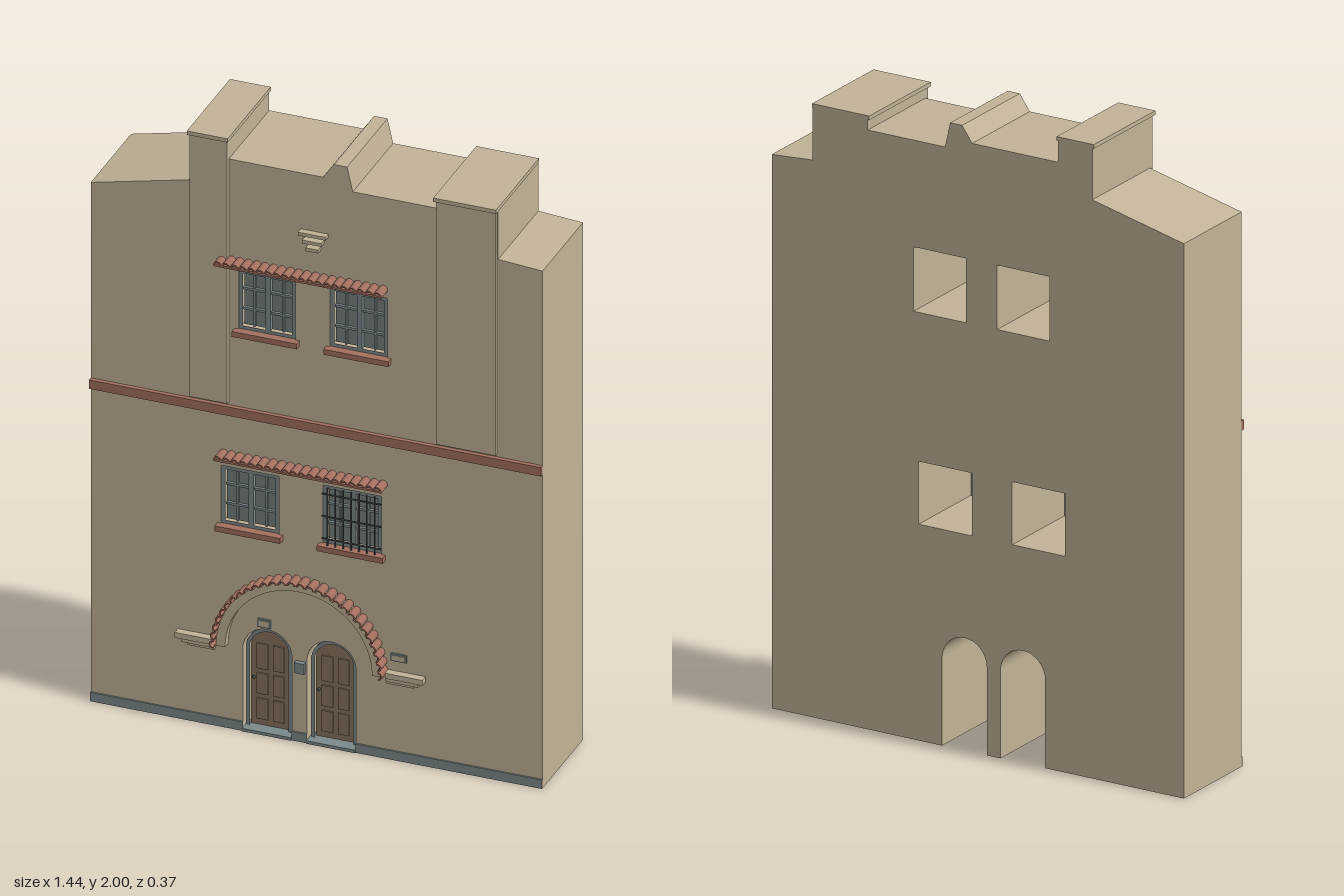
import * as THREE from 'three';

const mat = (name, color, side = THREE.FrontSide) => {
  const m = new THREE.MeshStandardMaterial({ color, side });
  m.name = name;
  return m;
};

const BACK = -0.185, FRONT = 0.135;
const ARCH = { x: -0.048, y: 0.283 };
const doors = [{ x: -0.157, shift: -0.003 }, { x: 0.047, shift: 0 }];
const DOOR_R = 0.078, DOOR_Y = 0.277;
// x0, x1, y0, y1, barred
const windows = [
  [-0.25, -0.067, 1.35, 1.553, false], [0.042, 0.225, 1.35, 1.553, false],
  [-0.305, -0.12, 0.682, 0.88, false], [0.02, 0.207, 0.682, 0.88, true],
];

export function createModel() {
  const wall = mat('stucco', 0xc1b398);
  const brick = mat('terracotta', 0xa36f5f);
  const grey = mat('blueGreyPaint', 0x7c8a8b);
  const glass = mat('windowGlass', 0x75807d);
  const wood = mat('doorWood', 0x87735f);
  const iron = mat('darkIron', 0x4c5152);
  const root = new THREE.Group();
  root.name = 'townhouseFacade';

  const add = (name, geo, material, parent = root) => {
    const m = new THREE.Mesh(geo, material);
    m.name = name;
    parent.add(m);
    return m;
  };
  const box = (name, x0, x1, y0, y1, z0, z1, material, parent) => {
    const g = new THREE.BoxGeometry(x1 - x0, y1 - y0, z1 - z0);
    g.translate((x0 + x1) / 2, (y0 + y1) / 2, (z0 + z1) / 2);
    return add(name, g, material, parent);
  };
  const extrude = (shape, z0, z1, curveSegments = 24) => {
    const g = new THREE.ExtrudeGeometry(shape, { depth: z1 - z0, bevelEnabled: false, curveSegments });
    return g.translate(0, 0, z0);
  };
  const group = (name) => {
    const g = new THREE.Group();
    g.name = name;
    root.add(g);
    return g;
  };
  const rectPath = (x0, x1, y0, y1) => new THREE.Path([
    new THREE.Vector2(x0, y0), new THREE.Vector2(x0, y1),
    new THREE.Vector2(x1, y1), new THREE.Vector2(x1, y0)]);
  // Round-headed outline standing on y = base
  const archTrace = (s, x, y, r, base) => {
    s.lineTo(x - r, base);
    s.lineTo(x - r, y);
    s.absarc(x, y, r, Math.PI, 0, true);
    s.lineTo(x + r, base);
    return s;
  };
  const archShape = (x, y, r, base, Type = THREE.Shape) => {
    const s = new Type();
    s.moveTo(x - r, base);
    return archTrace(s, x, y, r, base);
  };
  const halfRing = (x, y, rOut, rIn) => {
    const s = new THREE.Shape();
    s.moveTo(x + rOut, y);
    s.absarc(x, y, rOut, 0, Math.PI, false);
    s.lineTo(x - rIn, y);
    s.absarc(x, y, rIn, Math.PI, 0, true);
    return s;
  };

  // Main wall block with stepped parapet, doorways and window openings
  const body = new THREE.Shape();
  body.moveTo(-0.72, 0);
  doors.forEach((d) => archTrace(body, d.x, DOOR_Y, DOOR_R, 0));
  [[0.72, 0], [0.72, 1.747], [0.578, 1.757], [0.578, 1.925], [0.385, 1.925], [0.385, 1.89],
    [0.115, 1.89], [0.097, 1.97], [0.055, 1.97], [0.02, 1.92], [-0.28, 1.92], [-0.28, 1.99],
    [-0.4, 1.99], [-0.4, 1.825], [-0.72, 1.75]].forEach(([x, y]) => body.lineTo(x, y));
  windows.forEach(([x0, x1, y0, y1]) => body.holes.push(rectPath(x0, x1, y0, y1)));
  add('wall', extrude(body, BACK, FRONT), wall);

  // Pilasters with thin caps
  [[-0.4, -0.28, 1.99], [0.385, 0.575, 1.925]].forEach(([x0, x1, top]) => {
    box('pilaster', x0, x1, 1.1, top, FRONT, 0.149, wall);
    box('pilasterCap', x0 - 0.005, x1 + 0.005, top - 0.003, top + 0.01, BACK, 0.157, wall);
  });

  // Floor band and plinth, broken at the doors
  box('floorBand', -0.72, 0.72, 1.06, 1.09, FRONT, 0.149, brick);
  [[-0.72, -0.235], [-0.079, -0.031], [0.125, 0.72]].forEach(([x0, x1]) =>
    box('plinth', x0, x1, 0, 0.03, FRONT, 0.14, grey));

  // Small stepped ornament
  [[0.044, 1.72], [0.031, 1.696], [0.02, 1.672]].forEach(([w, y]) =>
    box('ornamentStep', -0.007 - w, -0.007 + w, y, y + 0.011, FRONT, 0.157, wall));

  // Windows: frame, glass, glazing bars and sill
  windows.forEach(([x0, x1, y0, y1, barred]) => {
    const w = group('window');
    const cx = (x0 + x1) / 2, h = y1 - y0;
    const frame = new THREE.Shape(rectPath(x0, x1, y0, y1).getPoints());
    frame.holes.push(rectPath(x0 + 0.013, x1 - 0.013, y0 + 0.013, y1 - 0.013));
    add('windowFrame', extrude(frame, 0.105, 0.13), grey, w);
    box('windowGlass', x0 + 0.01, x1 - 0.01, y0 + 0.01, y1 - 0.01, 0.108, 0.112, glass, w);
    box('centreMullion', cx - 0.008, cx + 0.008, y0 + 0.01, y1 - 0.01, 0.11, 0.127, grey, w);
    [1, 2].forEach((i) => {
      const y = y0 + (h * i) / 3;
      box('glazingBar', x0 + 0.01, x1 - 0.01, y - 0.004, y + 0.004, 0.11, 0.121, grey, w);
    });
    [-1, 1].forEach((s) => {
      const x = cx + s * 0.046;
      box('glazingBar', x - 0.003, x + 0.003, y0 + 0.01, y1 - 0.01, 0.11, 0.12, grey, w);
    });
    box('windowSill', x0 - 0.012, x1 + 0.012, y0 - 0.016, y0 + 0.002, 0.11, 0.157, brick, w);
    if (barred) {
      for (let i = 0; i < 7; i++) {
        const x = x0 + 0.018 + (i * (x1 - x0 - 0.036)) / 6;
        box('grilleBar', x - 0.002, x + 0.002, y0, y1, 0.143, 0.147, iron, w);
      }
      [0.12, 0.5, 0.88].forEach((t) =>
        box('grilleRail', x0, x1, y0 + h * t - 0.002, y0 + h * t + 0.002, 0.142, 0.146, iron, w));
    }
  });

  // Tiled eaves above each pair of windows
  const tileGeo = extrude(halfRing(0, 0, 0.0135, 0.009), FRONT, 0.185, 6);
  [1.571, 0.913].forEach((y) => {
    const e = group('tiledEave');
    box('eaveBoard', -0.305, 0.22, y, y + 0.006, FRONT, 0.16, brick, e);
    box('eaveBed', -0.31, 0.225, y + 0.005, y + 0.012, FRONT, 0.183, brick, e);
    for (let i = 0; i < 20; i++)
      add('eaveTile', tileGeo, brick, e).position.set(-0.297 + i * 0.0268, y + 0.01, 0);
  });

  // Entrance arch: stucco ring crowned by barrel tiles
  const arch = group('entranceArch');
  add('archRing', extrude(halfRing(ARCH.x, ARCH.y, 0.263, 0.234), FRONT, 0.16, 40), wall, arch);
  const COUNT = 28;
  for (let i = 0; i < COUNT; i++) {
    const a = (Math.PI * (i + 0.5)) / COUNT;
    const t = add('archTile', tileGeo, brick, arch);
    t.position.set(ARCH.x + 0.263 * Math.cos(a), ARCH.y + 0.263 * Math.sin(a), 0);
    t.rotation.z = a - Math.PI / 2;
  }
  // Stepped corbels at the arch feet
  [-1, 1].forEach((s) => [[0.395, 0.282, 0.3], [0.378, 0.268, 0.282], [0.36, 0.258, 0.268]]
    .forEach(([reach, y0, y1], i) => {
      const xs = [ARCH.x + s * 0.275, ARCH.x + s * reach].sort((a, b) => a - b);
      box('corbelStep', xs[0], xs[1], y0, y1, FRONT, 0.16 - i * 0.007, wall, arch);
    }));

  // Round-headed doors
  doors.forEach(({ x, shift }) => {
    const d = group('door');
    const cx = x + shift, r = 0.073, y = 0.272;
    const frame = archShape(cx, y, r, 0.008);
    frame.holes.push(archShape(cx, y, r - 0.011, 0.009, THREE.Path));
    add('doorFrame', extrude(frame, 0.085, 0.113), grey, d);
    add('doorLeaf', extrude(archShape(cx, y, r - 0.01, 0.01), 0.09, 0.1), wood, d);
    [[0.03, 0.1], [0.115, 0.185], [0.2, 0.285]].forEach(([y0, y1]) => [-1, 1].forEach((s) => {
      const px = cx + s * 0.026;
      box('doorPanel', px - 0.018, px + 0.018, y0, y1, 0.099, 0.104, wood, d);
    }));
    const knob = add('doorKnob', new THREE.SphereGeometry(0.005, 10, 8), iron, d);
    knob.position.set(cx - 0.052, 0.17, 0.106);
    box('doorStep', x - DOOR_R, x + DOOR_R, 0, 0.01, 0.085, 0.143, grey, d);
  });

  // Wall plates and letter box
  [[-0.186, -0.146, 0.362, 0.39], [0.238, 0.288, 0.335, 0.36]].forEach(([x0, x1, y0, y1]) => {
    box('wallPlate', x0, x1, y0, y1, FRONT, 0.141, grey);
    box('wallPlateFace', x0 + 0.005, x1 - 0.005, y0 + 0.005, y1 - 0.005, 0.14, 0.143, wall);
  });
  box('letterBox', -0.066, -0.035, 0.235, 0.27, FRONT, 0.15, grey);

  return root;
}
